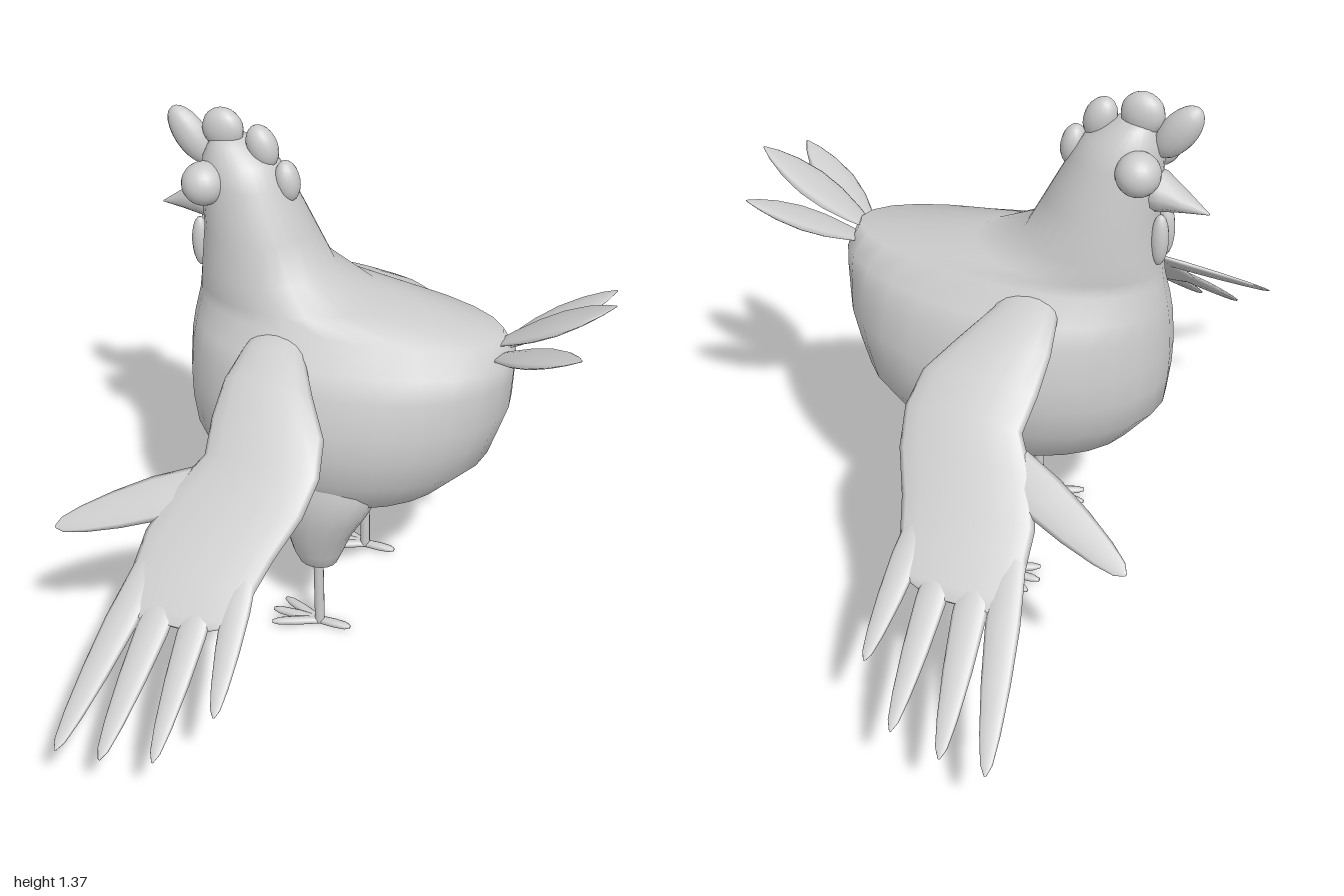
import * as THREE from 'three';

const material = new THREE.MeshStandardMaterial({ color: 0xcccccc });
const V = (x, y, z) => new THREE.Vector3(x, y, z);

function add(parent, name, geometry, position) {
  const mesh = new THREE.Mesh(geometry, material);
  mesh.name = name;
  if (position) mesh.position.copy(position);
  parent.add(mesh);
  return mesh;
}

// Skin closed rings of points, cap both ends, and turn all faces outwards.
function loft(rings) {
  const n = rings[0].length, points = rings.flat(), faces = [];
  for (let i = 0; i < rings.length - 1; i++) {
    for (let j = 0; j < n; j++) {
      const a = i * n + j, b = i * n + (j + 1) % n;
      faces.push([a, b, a + n], [b, b + n, a + n]);
    }
  }
  for (const [i, flip] of [[0, true], [rings.length - 1, false]]) {
    const c = points.length;
    points.push(rings[i].reduce((s, p) => s.add(p), V(0, 0, 0)).divideScalar(n));
    for (let j = 0; j < n; j++) {
      const a = i * n + j, b = i * n + (j + 1) % n;
      faces.push(flip ? [b, a, c] : [a, b, c]);
    }
  }
  let volume = 0;
  for (const [a, b, c] of faces) volume += points[a].dot(V(0, 0, 0).crossVectors(points[b], points[c]));
  if (volume < 0) faces.forEach(f => f.reverse());
  const geometry = new THREE.BufferGeometry().setFromPoints(points);
  geometry.setIndex(faces.flat());
  geometry.computeVertexNormals();
  return geometry;
}

// Ring around a centre, spanned by two half-axis vectors.
function ring(center, u, v, n = 12) {
  return Array.from({ length: n }, (_, j) => {
    const a = j / n * Math.PI * 2;
    return center.clone().addScaledVector(u, Math.cos(a)).addScaledVector(v, Math.sin(a));
  });
}

// Flat tapered feather from a to b; profile lists [distance, relative half width].
function leaf(a, b, halfWidth, thickness, normal, profile) {
  const dir = b.clone().sub(a).normalize();
  const side = V(0, 0, 0).crossVectors(dir, normal).normalize();
  const up = V(0, 0, 0).crossVectors(side, dir);
  return loft(profile.map(([t, w]) => ring(a.clone().lerp(b, t),
    side.clone().multiplyScalar(w * halfWidth),
    up.clone().multiplyScalar(Math.max(w, 0.1) * thickness), 10)));
}

const LEAF = [[0, 0.25], [0.15, 0.6], [0.35, 0.92], [0.55, 1], [0.75, 0.78], [0.9, 0.42], [1, 0.04]];
const FINGER = [[0, 0.9], [0.35, 1], [0.6, 0.85], [0.82, 0.6], [0.95, 0.35], [1, 0.06]];

// Wing height as a function of distance from the body.
const DROOP = [[0.12, 0.875], [0.2, 0.845], [0.3, 0.795], [0.4, 0.715], [0.5, 0.62], [0.6, 0.53], [0.8, 0.362], [1, 0.207]];
function wingY(z) {
  const i = Math.max(1, DROOP.findIndex(d => d[0] >= z));
  const [z0, y0] = DROOP[i - 1], [z1, y1] = DROOP[i];
  return y0 + (y1 - y0) * (z - z0) / (z1 - z0);
}

function addWing(parent, s) {
  const wing = new THREE.Group();
  wing.name = s > 0 ? 'rightSideWing' : 'leftSideWing';
  parent.add(wing);
  // Palm: [z, front x, back x, half thickness]
  const palm = [[0.12, -0.25, -0.13, 0.02], [0.2, -0.27, -0.11, 0.025], [0.28, -0.285, -0.06, 0.025],
    [0.36, -0.285, 0, 0.025], [0.43, -0.275, 0.015, 0.022], [0.5, -0.33, 0, 0.02],
    [0.58, -0.365, -0.04, 0.016], [0.65, -0.37, -0.065, 0.013], [0.71, -0.37, -0.08, 0.01], [0.735, -0.36, -0.17, 0.006]];
  add(wing, 'wingPalm', loft(palm.map(([z, x0, x1, t]) => ring(
    V((x0 + x1) / 2, wingY(z), z * s), V((x1 - x0) / 2, 0, 0), V(0, t, t * 0.7 * s), 16))));
  // Feathers: [base x, base z, tip x, tip z, half width]
  const feathers = [[-0.325, 0.62, -0.415, 1, 0.04], [-0.26, 0.62, -0.305, 0.995, 0.04],
    [-0.18, 0.62, -0.18, 0.975, 0.036], [-0.105, 0.58, -0.072, 0.872, 0.035], [-0.24, 0.475, -0.59, 0.613, 0.055]];
  for (const [x0, z0, x1, z1, w] of feathers) {
    add(wing, 'wingFeather', leaf(V(x0, wingY(z0), z0 * s), V(x1, wingY(z1), z1 * s), w, 0.01, V(0, 0.75, 0.65 * s), FINGER));
  }
}

function addLeg(parent, s) {
  const leg = new THREE.Group();
  leg.name = s > 0 ? 'rightSideLeg' : 'leftSideLeg';
  leg.position.set(-0.1, 0, 0.17 * s);
  parent.add(leg);
  // Thigh: [y, centre x, half depth, half width, centre z]
  const thigh = [[0.21, 0, 0.03, 0.025, 0], [0.222, 0, 0.05, 0.04, 0], [0.26, 0, 0.066, 0.056, 0], [0.32, 0.005, 0.085, 0.075, 0],
    [0.39, 0.015, 0.115, 0.093, 0], [0.47, 0.03, 0.14, 0.1, 0], [0.56, 0.03, 0.14, 0.09, -0.01], [0.64, 0.03, 0.08, 0.05, -0.02]];
  add(leg, 'thigh', loft(thigh.map(([y, x, rx, rz, z]) => ring(V(x, y, z * s), V(rx, 0, 0), V(0, 0, rz), 16))));
  add(leg, 'shank', new THREE.CylinderGeometry(0.013, 0.013, 0.22, 12), V(0, 0.12, 0));
  for (const [x, z] of [[-0.13, 0], [-0.115, 0.05], [-0.115, -0.05], [0.085, 0]]) {
    add(leg, 'toe', leaf(V(0, 0.012, 0), V(x, 0.012, z), 0.013, 0.011, V(0, 1, 0),
      [[0, 0.9], [0.5, 1], [0.85, 0.85], [1, 0.4]]));
  }
}

export function createModel() {
  const model = new THREE.Group();
  model.name = 'chicken';

  // Body, neck and head: [y, front x, back x, widest x, half width]
  const body = [[0.36, -0.2, 0, -0.1, 0.08], [0.40, -0.33, 0.12, -0.1, 0.17], [0.45, -0.41, 0.2, -0.09, 0.235],
    [0.54, -0.48, 0.29, -0.09, 0.275], [0.62, -0.488, 0.317, -0.1, 0.285], [0.69, -0.49, 0.34, -0.1, 0.278],
    [0.78, -0.483, 0.347, -0.12, 0.255], [0.83, -0.475, 0.35, -0.14, 0.222], [0.89, -0.462, 0.32, -0.18, 0.17],
    [0.923, -0.457, 0.01, -0.24, 0.156], [0.98, -0.45, -0.12, -0.28, 0.146], [1.08, -0.44, -0.17, -0.3, 0.125],
    [1.2, -0.445, -0.23, -0.33, 0.1], [1.25, -0.44, -0.26, -0.35, 0.078], [1.29, -0.42, -0.32, -0.37, 0.05],
    [1.303, -0.4, -0.35, -0.38, 0.02]];
  add(model, 'body', loft(body.map(([y, front, back, mid, w]) => Array.from({ length: 28 }, (_, j) => {
    const a = j / 28 * Math.PI * 2, c = Math.cos(a);
    return V(mid + (c > 0 ? (back - mid) * c : (mid - front) * c), y, w * Math.sin(a));
  }))));

  // Beak, with its tip dropped low
  add(model, 'beak', loft([[-0.4, 1.13, 0.055, 0.055], [-0.45, 1.128, 0.048, 0.048],
    [-0.5, 1.112, 0.026, 0.03], [-0.56, 1.09, 0.002, 0.002]].map(([x, y, ry, rz]) =>
    ring(V(x, y, 0), V(0, ry, 0), V(0, 0, rz), 12))));

  // Comb lobes: [x, y, half length, half height, tilt]
  for (const [x, y, rx, ry, tilt] of [[-0.475, 1.285, 0.042, 0.08, 0.6], [-0.39, 1.315, 0.052, 0.053, 0],
    [-0.29, 1.285, 0.038, 0.055, 0.35], [-0.228, 1.205, 0.03, 0.052, 0.15]]) {
    const lobe = add(model, 'combLobe', new THREE.SphereGeometry(1, 16, 12), V(x, y, 0));
    lobe.scale.set(rx, ry, 0.033);
    lobe.rotation.z = tilt;
  }

  // Tail feathers
  add(model, 'tailFeather', leaf(V(0.3, 0.865, 0), V(0.585, 1.03, 0), 0.06, 0.013, V(-0.5, 0.87, 0), LEAF));

  for (const s of [1, -1]) {
    add(model, 'tailFeather', leaf(V(0.3, 0.84, 0.02 * s), V(0.55, 0.972, 0.165 * s), 0.053, 0.013, V(-0.42, 0.87, -0.15 * s), LEAF));
    add(model, 'eye', new THREE.SphereGeometry(0.053, 20, 14), V(-0.41, 1.205, 0.08 * s));
    add(model, 'wattle', new THREE.SphereGeometry(1, 14, 10), V(-0.453, 1.012, 0.024 * s)).scale.set(0.022, 0.067, 0.022);
    addWing(model, s);
    addLeg(model, s);
  }
  return model;
}
